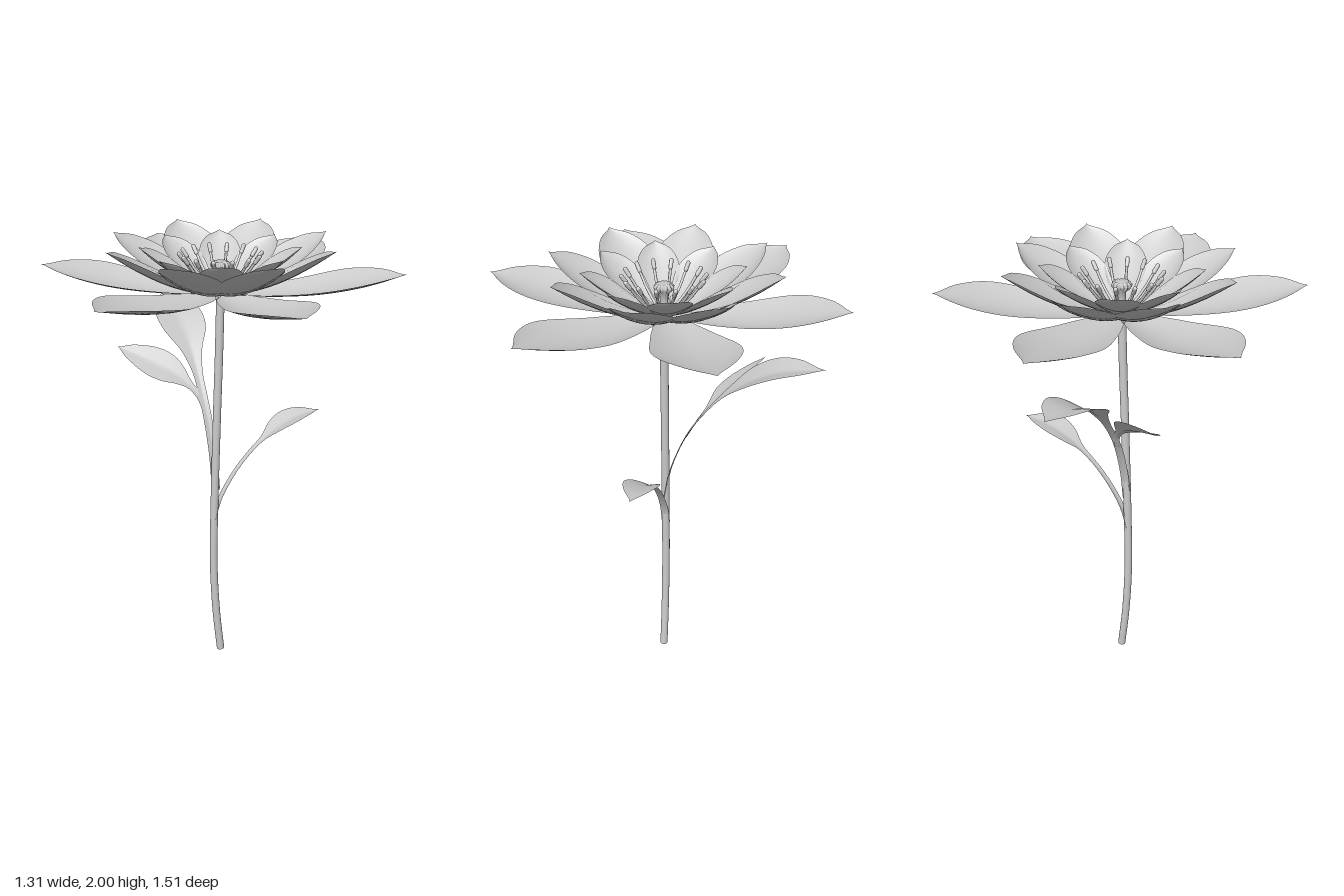
import * as THREE from 'three';

const V = (x, y, z = 0) => new THREE.Vector3(x, y, z);
const solid = new THREE.MeshStandardMaterial({ color: 0xcccccc });
const thin = new THREE.MeshStandardMaterial({ color: 0xcccccc, side: THREE.DoubleSide });

function add(parent, name, geometry, material = solid) {
  const mesh = new THREE.Mesh(geometry, material);
  mesh.name = name;
  parent.add(mesh);
  return mesh;
}

// Thin blade swept along a path. widths: half widths at even steps,
// up: rough surface normal, cup: how far the edges rise, fold: 1 = V, 2 = bowl.
function blade(points, widths, up, cup, fold, rows = 28, cols = 10) {
  const path = new THREE.CatmullRomCurve3(points);
  const profile = new THREE.SplineCurve(widths.map((w, i) => new THREE.Vector2(i, w)));
  const pos = [], index = [];
  for (let i = 0; i <= rows; i++) {
    const u = 1 - (1 - i / rows) ** 1.3;
    const p = path.getPointAt(u), t = path.getTangentAt(u);
    const side = t.clone().cross(up).normalize();
    const normal = side.clone().cross(t);
    const w = Math.max(profile.getPoint(u).y, 0.0005);
    for (let j = 0; j <= cols; j++) {
      const v = (j / cols) * 2 - 1;
      const q = p.clone().addScaledVector(side, v * w)
        .addScaledVector(normal, cup * w * Math.abs(v) ** fold);
      pos.push(q.x, q.y, q.z);
      if (i < rows && j < cols) {
        const a = i * (cols + 1) + j, c = a + cols + 1;
        index.push(a, a + 1, c, a + 1, c + 1, c);
      }
    }
  }
  const g = new THREE.BufferGeometry();
  g.setAttribute('position', new THREE.Float32BufferAttribute(pos, 3));
  g.setIndex(index);
  g.computeVertexNormals();
  return g;
}

function ring(parent, name, count, offset, geometry, material) {
  const group = new THREE.Group();
  group.name = name + 's';
  for (let i = 0; i < count; i++) {
    add(group, name, geometry, material).rotation.y = offset + (i / count) * Math.PI * 2;
  }
  parent.add(group);
}

export function createModel() {
  const model = new THREE.Group();
  const up = V(0, 1, 0);

  // Gently bowed stem with a closed foot
  const stemPath = new THREE.CatmullRomCurve3([
    V(0, 0), V(-0.022, 0.22), V(-0.035, 0.5), V(-0.03, 0.8), V(-0.018, 1.2), V(-0.006, 1.55), V(0, 1.785)]);
  add(model, 'stem', new THREE.TubeGeometry(stemPath, 50, 0.018, 14));
  add(model, 'stemFoot', new THREE.CircleGeometry(0.018, 14)).rotation.x = Math.PI / 2;

  // Flower: three rings of cupped petals
  const flower = new THREE.Group();
  flower.name = 'flower';
  model.add(flower);
  ring(flower, 'outerPetal', 6, Math.PI / 6, blade(
    [V(0.005, 1.778), V(0.2, 1.779), V(0.4, 1.797), V(0.58, 1.832), V(0.755, 1.88)],
    [0.02, 0.06, 0.085, 0.11, 0.13, 0.15, 0.164, 0.163, 0.138, 0.085, 0], up, 0.24, 2), thin);
  ring(flower, 'middlePetal', 8, 0, blade(
    [V(0.005, 1.782), V(0.12, 1.797), V(0.25, 1.845), V(0.38, 1.918), V(0.488, 1.995)],
    [0.02, 0.05, 0.075, 0.095, 0.112, 0.123, 0.126, 0.12, 0.1, 0.064, 0], up, 0.28, 2), thin);
  ring(flower, 'innerPetal', 8, Math.PI / 8, blade(
    [V(0.005, 1.786), V(0.08, 1.803), V(0.17, 1.85), V(0.26, 1.91), V(0.335, 1.972)],
    [0.012, 0.025, 0.038, 0.052, 0.067, 0.08, 0.087, 0.085, 0.073, 0.048, 0], up, 0.3, 2), thin);

  // Stamens: curved filaments with slim anthers
  const filament = new THREE.CatmullRomCurve3([
    V(0.015, 1.785), V(0.06, 1.815), V(0.11, 1.865), V(0.15, 1.92)]);
  ring(flower, 'filament', 14, 0.1, new THREE.TubeGeometry(filament, 12, 0.006, 6));
  const anther = new THREE.CapsuleGeometry(0.009, 0.03, 4, 8);
  anther.rotateZ(-0.63).translate(0.16, 1.934, 0);
  ring(flower, 'anther', 14, 0.1, anther);

  // Pistil with a fluted head
  const pistil = new THREE.LatheGeometry([
    [0.02, 1.785], [0.016, 1.83], [0.018, 1.87], [0.036, 1.89], [0.038, 1.902], [0.028, 1.914], [0, 1.91],
  ].map(([r, y]) => new THREE.Vector2(r, y)), 72);
  const p = pistil.attributes.position;
  for (let i = 0; i < p.count; i++) {
    const x = p.getX(i), z = p.getZ(i);
    const k = p.getY(i) > 1.88 ? 1 + 0.13 * Math.cos(12 * Math.atan2(z, x)) : 1;
    p.setXYZ(i, x * k, p.getY(i), z * k);
  }
  pistil.computeVertexNormals();
  add(flower, 'pistil', pistil);

  // Leaves: narrow flat stalks widening into folded blades
  add(model, 'lowerLeaf', blade(
    [V(-0.03, 0.72), V(0.01, 0.84), V(0.12, 1.0), V(0.26, 1.115), V(0.38, 1.165), V(0.49, 1.182)],
    [0.02, 0.019, 0.017, 0.016, 0.015, 0.015, 0.022, 0.06, 0.075, 0.052, 0],
    V(-0.5, 1, 0), 0.25, 1, 44), thin);
  add(model, 'upperLeaf', blade(
    [V(-0.024, 0.87, 0), V(-0.024, 1.05, -0.035), V(-0.026, 1.25, -0.12), V(-0.024, 1.45, -0.28),
      V(-0.02, 1.565, -0.46), V(-0.02, 1.612, -0.67)],
    [0.02, 0.02, 0.02, 0.02, 0.02, 0.024, 0.05, 0.1, 0.108, 0.075, 0],
    V(0, 1, 0.5), 0.2, 1, 44), thin);
  add(model, 'sideLeaf', blade(
    [V(-0.026, 1.2, -0.095), V(-0.045, 1.28, -0.14), V(-0.11, 1.355, -0.2), V(-0.22, 1.42, -0.28), V(-0.34, 1.48, -0.37)],
    [0.012, 0.014, 0.016, 0.02, 0.045, 0.072, 0.082, 0.077, 0.06, 0.036, 0],
    V(0, 0.78, 0.62), 0.2, 1, 36), thin);

  return model;
}
